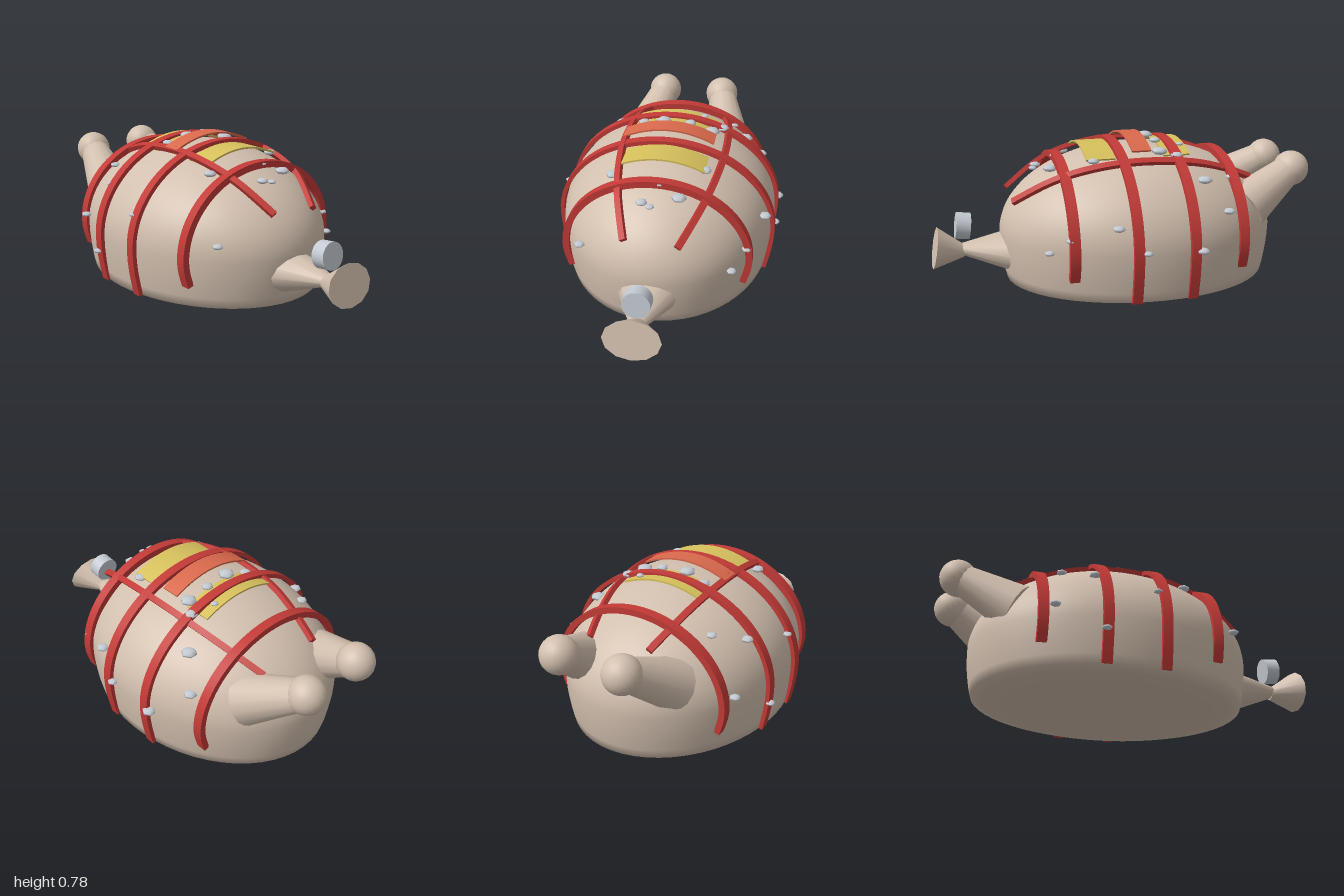
import * as THREE from 'three';
import { toCreasedNormals } from 'three/addons/utils/BufferGeometryUtils.js';

const material = (name, color) => {
  const m = new THREE.MeshStandardMaterial({ color });
  m.name = name;
  return m;
};
const V = (x, y, z) => new THREE.Vector3(x, y, z);

export function createModel() {
  const skin = material('beige skin', 0xd2bfae);
  const red = material('strap red', 0xc23a36);
  const gold = material('gold', 0xd6c05c);
  const orange = material('orange', 0xd9694c);
  const silver = material('silver', 0xc4cad2);

  const root = new THREE.Group();
  root.name = 'strappedBody';

  const add = (name, geometry, mat) => {
    const mesh = new THREE.Mesh(geometry, mat);
    mesh.name = name;
    root.add(mesh);
    return mesh;
  };

  // Bar that follows a flat curve, extruded evenly to both sides of its plane
  const bar = (points, thickness, width) => {
    const outer = [], inner = [];
    points.forEach((p, i) => {
      const a = points[Math.max(i - 1, 0)], b = points[Math.min(i + 1, points.length - 1)];
      const t = b.clone().sub(a).normalize();
      const n = new THREE.Vector2(-t.y, t.x).multiplyScalar(thickness / 2);
      outer.push(p.clone().add(n));
      inner.unshift(p.clone().sub(n));
    });
    const g = new THREE.ExtrudeGeometry(new THREE.Shape([...outer, ...inner]), { depth: width, bevelEnabled: false });
    g.translate(0, 0, -width / 2);
    return toCreasedNormals(g, 0.6);
  };

  // Tapered limb between two points, optionally flattened
  const limb = (name, from, to, r0, r1, flat = 1, sides = 12) => {
    const dir = to.clone().sub(from);
    const g = new THREE.CylinderGeometry(r1, r0, dir.length(), sides);
    g.scale(1, 1, flat);
    const mesh = add(name, toCreasedNormals(g, 0.8), skin);
    mesh.position.copy(from).add(to).multiplyScalar(0.5);
    mesh.quaternion.setFromUnitVectors(V(0, 1, 0), dir.normalize());
    return mesh;
  };

  // Body: domed oval with a flat underside
  const profile = [[0, 0], [0.55, 0], [0.76, 0.002], [0.87, 0.012], [0.955, 0.03], [0.972, 0.08], [0.988, 0.15], [0.997, 0.21]]
    .map(([r, y]) => new THREE.Vector2(r, y));
  for (let i = 0; i <= 20; i++) {
    const a = (i / 20) * Math.PI / 2;
    profile.push(new THREE.Vector2(i === 20 ? 0 : Math.cos(a), 0.27 + 0.45 * Math.sin(a)));
  }
  const bodyGeometry = new THREE.LatheGeometry(profile, 56);
  bodyGeometry.scale(0.565, 1, 0.73);
  add('body', bodyGeometry, skin).position.z = -0.09;

  // Straps across the body: z, half width, rise, end height, thickness
  [[0.345, 0.47, 0.402, 0.14, 0.034], [0.056, 0.567, 0.472, 0.03, 0.022],
    [-0.23, 0.567, 0.468, 0.03, 0.022], [-0.52, 0.47, 0.392, 0.14, 0.032]].forEach(([z, a, b, end, t]) => {
    const half = [];
    for (let i = 0; i <= 4; i++) {
      const k = i / 4;
      half.push(new THREE.Vector2(a * (0.94 + 0.06 * Math.sin(k * Math.PI / 2)), end + (0.27 - end) * k));
    }
    for (let i = 1; i <= 20; i++) {
      const w = (i / 20) * Math.PI / 2;
      half.push(new THREE.Vector2(a * Math.cos(w), 0.27 + b * Math.sin(w)));
    }
    const mirrored = half.slice(0, -1).reverse().map((p) => new THREE.Vector2(-p.x, p.y));
    add('crossStrap', bar([...half, ...mirrored], t, 0.05), red).position.z = z;
  });

  // Lengthwise straps, each lying in a leaning plane
  const arc = [[0.59, 0], [0.4, 0.57], [0.2, 0.88], [-0.03, 1], [-0.3, 0.9], [-0.5, 0.63], [-0.66, 0.31]];
  [['rightLongStrap', -0.115, 0.49, -0.225, 0.71], ['leftLongStrap', 0.145, 0.475, 0.295, 0.675]].forEach(([name, x0, y0, x1, y1]) => {
    const rise = V(x1 - x0, y1 - y0, 0), length = rise.length();
    const curve = new THREE.SplineCurve(arc.map(([z, f]) => new THREE.Vector2(z, f * length)));
    const g = bar(curve.getPoints(40), 0.024, 0.032);
    const d = rise.normalize(), along = V(0, 0, 1);
    g.applyMatrix4(new THREE.Matrix4().makeBasis(along, d, along.clone().cross(d)));
    add(name, g, red).position.set(x0, y0, 0);
  });

  // Curved plates on the crown
  const plate = (name, mat, z, width, halfSpan, top, drop) => {
    const pts = [];
    for (let i = 0; i <= 16; i++) {
      const k = 1 - i / 8;
      pts.push(new THREE.Vector2(halfSpan * k, top - drop * k * k));
    }
    add(name, bar(pts, 0.009, width), mat).position.z = z;
  };
  plate('frontPlate', gold, 0.155, 0.15, 0.22, 0.731, 0.052);
  plate('middlePlate', orange, -0.052, 0.1, 0.235, 0.772, 0.058);
  plate('rearPlate', gold, -0.24, 0.14, 0.225, 0.735, 0.052);

  // Front neck, flared end and silver tie
  limb('neck', V(0, 0.182, 0.58), V(0, 0.207, 0.845), 0.158, 0.04, 0.68);
  limb('neckFlare', V(0, 0.195, 0.825), V(0, 0.222, 0.974), 0.04, 0.14, 0.75);
  const tie = add('neckTie', toCreasedNormals(new THREE.CylinderGeometry(0.068, 0.068, 0.072, 24), 0.8), silver);
  tie.position.set(0, 0.33, 0.83);
  tie.rotation.x = Math.PI / 2 - 0.12;

  // Rear legs with round ends
  [['left', 1], ['right', -1]].forEach(([side, s]) => {
    limb(side + 'Leg', V(s * 0.25, 0.39, -0.61), V(s * 0.178, 0.56, -0.89), 0.13, 0.078, 1, 14);
    add(side + 'LegEnd', new THREE.SphereGeometry(0.094, 20, 14), skin).position.set(s * 0.173, 0.565, -0.906);
  });

  // Flattened beads: x, y, z, radius
  const beadGeometry = new THREE.SphereGeometry(1, 6, 5);
  [[-0.5, 0.32, -0.47, 0.028], [-0.34, 0.58, -0.415, 0.028], [-0.455, 0.525, -0.27, 0.032],
    [-0.16, 0.715, -0.18, 0.032], [-0.05, 0.745, -0.155, 0.042], [0.09, 0.74, -0.165, 0.03],
    [0.205, 0.705, -0.155, 0.042], [0.295, 0.57, -0.51, 0.03], [0.455, 0.435, -0.44, 0.034],
    [0.37, 0.58, -0.34, 0.04], [0.57, 0.278, -0.265, 0.034], [0.255, 0.69, -0.23, 0.034],
    [0.15, 0.725, -0.28, 0.02], [-0.53, 0.44, 0.025, 0.024], [-0.575, 0.19, -0.24, 0.026],
    [-0.235, 0.645, 0.26, 0.034], [-0.365, 0.355, 0.475, 0.028], [-0.055, 0.615, 0.44, 0.03],
    [-0.01, 0.607, 0.46, 0.022], [0.02, 0.674, 0.36, 0.018], [0.12, 0.63, 0.395, 0.038],
    [0.22, 0.675, 0.195, 0.032], [0.525, 0.408, 0.145, 0.032], [0.392, 0.272, 0.455, 0.026],
    [0.455, 0.345, 0.36, 0.027], [0.575, 0.29, 0.015, 0.025]].forEach(([x, y, z, r]) => {
    const bead = add('bead', beadGeometry, silver);
    bead.position.set(x, y, z);
    bead.scale.set(r, r * 0.45, r);
  });

  return root;
}
